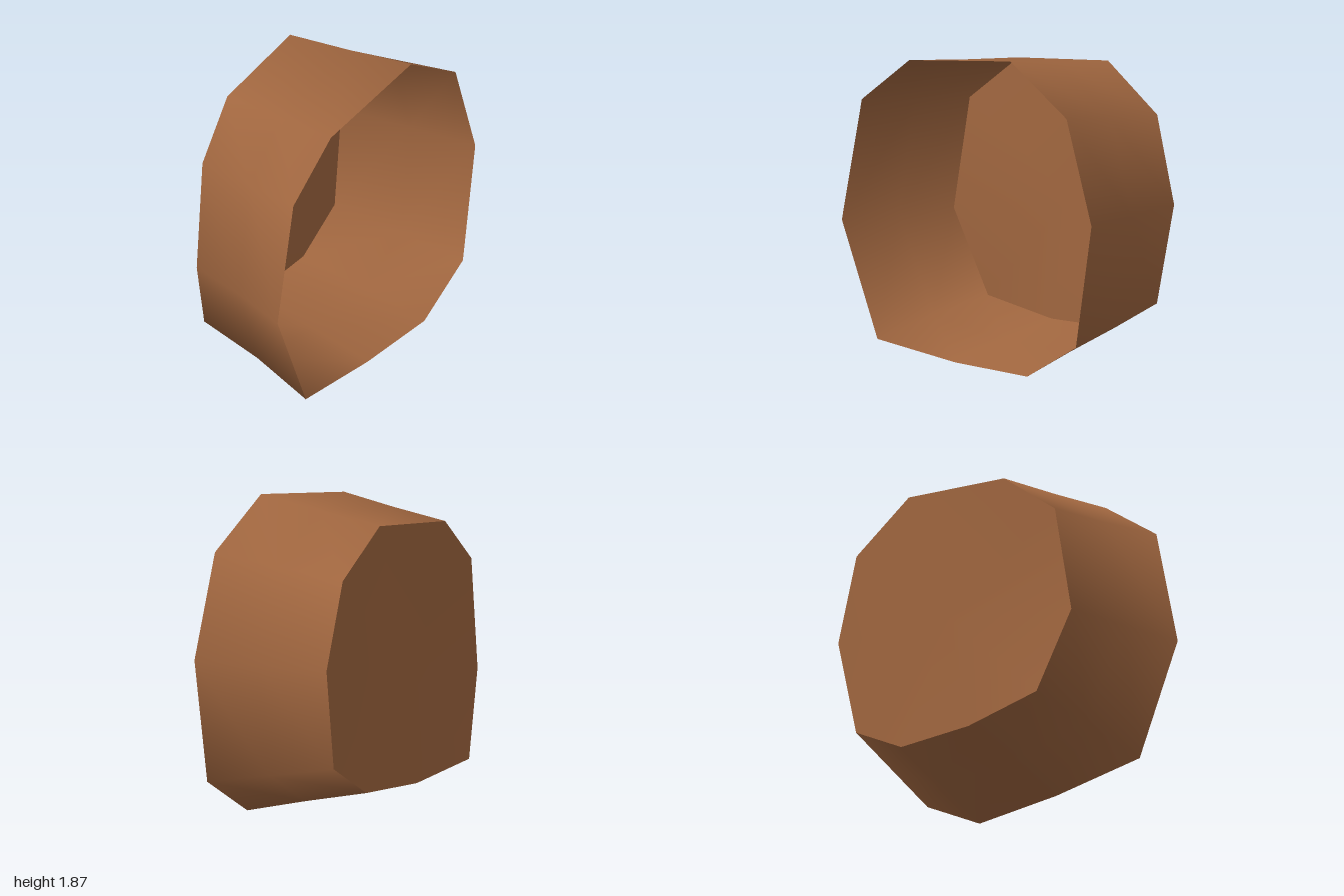
import * as THREE from 'three';

// Ten corners of each cross-section, clockwise seen from the front
const rim = [[-0.46, 1.78], [0.35, 1.87], [0.8, 1.58], [1, 0.96], [0.875, 0.22],
  [0.485, 0], [-0.09, 0.015], [-0.715, 0.08], [-1, 0.76], [-0.84, 1.5]]
  .map(([x, y]) => new THREE.Vector3(x, y, 0.44));
const base = [[-0.35, 1.7, -0.39], [0.335, 1.76, -0.425], [0.715, 1.48, -0.44], [0.86, 0.96, -0.43],
  [0.75, 0.36, -0.4], [0.42, 0.175, -0.39], [-0.08, 0.17, -0.385], [-0.59, 0.25, -0.385],
  [-0.785, 0.76, -0.3], [-0.685, 1.43, -0.33]].map((p) => new THREE.Vector3(...p));
// How far each corner of the middle section is pulled inwards
const inset = [0.005, 0.005, 0, 0, 0, 0.005, 0.01, 0.02, 0.018, 0.01];

function surface(points, index) {
  const g = new THREE.BufferGeometry().setFromPoints(points);
  g.setIndex(index);
  g.computeVertexNormals();
  return g;
}

export function createModel() {
  const group = new THREE.Group();
  group.name = 'openCup';
  const brown = new THREE.MeshStandardMaterial({ color: 0xa0663f, side: THREE.DoubleSide });
  brown.name = 'brown';
  const n = rim.length;

  // Slightly pinched section between rim and base
  const middle = rim.map((p, i) => {
    const m = p.clone().lerp(base[i], 0.49);
    const k = 1 - inset[i];
    return m.set(m.x * k, 0.95 + (m.y - 0.95) * k, m.z);
  });

  // Smooth tapering wall
  const wallIndex = [];
  for (let r = 0; r < 2; r++) {
    for (let i = 0; i < n; i++) {
      const j = (i + 1) % n;
      const a = r * n + i, b = r * n + j;
      wallIndex.push(a, b, b + n, a, b + n, a + n);
    }
  }
  const wall = new THREE.Mesh(surface([...rim, ...middle, ...base], wallIndex), brown);
  wall.name = 'wall';

  // Closed back, a fan around its centre
  const centre = base.reduce((s, p) => s.add(p), new THREE.Vector3()).divideScalar(n);
  const backIndex = [];
  for (let i = 0; i < n; i++) backIndex.push(n, i, (i + 1) % n);
  const back = new THREE.Mesh(surface([...base, centre], backIndex), brown);
  back.name = 'back';

  group.add(wall, back);
  return group;
}
